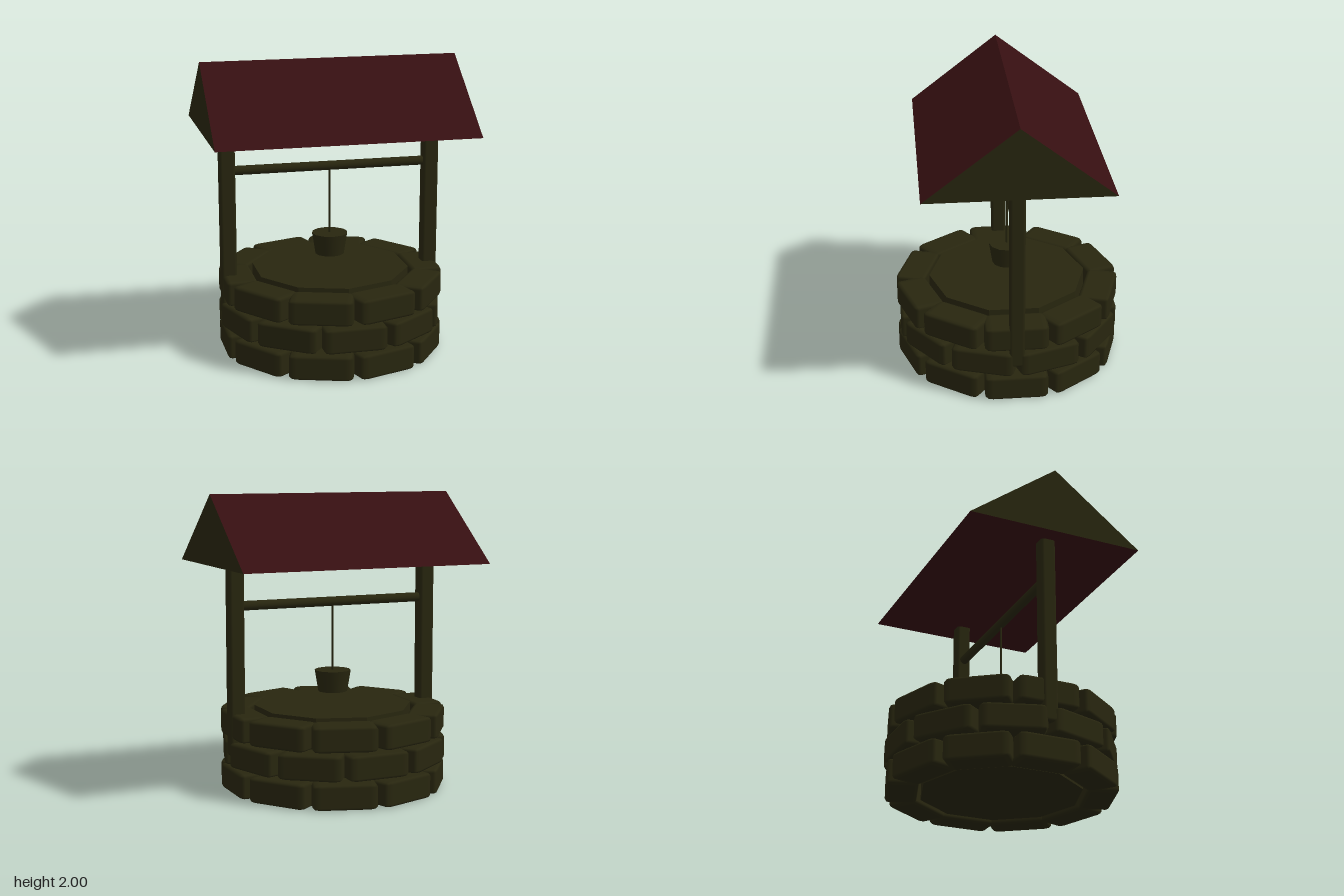
import * as THREE from 'three';
import { RoundedBoxGeometry } from 'three/addons/geometries/RoundedBoxGeometry.js';

function material(name, color) {
  const m = new THREE.MeshStandardMaterial({ color });
  m.name = name;
  return m;
}

export function createModel() {
  const well = new THREE.Group();
  well.name = 'well';
  const olive = material('darkOlive', 0x28260f);
  const red = material('darkRed', 0x360f11);

  function add(name, geometry, mat, x = 0, y = 0, z = 0, parent = well) {
    const mesh = new THREE.Mesh(geometry, mat);
    mesh.name = name;
    mesh.position.set(x, y, z);
    parent.add(mesh);
    return mesh;
  }

  // Ten-sided core filling the ring of stones
  const core = new THREE.CylinderGeometry(0.54, 0.54, 0.54, 10).toNonIndexed();
  core.computeVertexNormals();
  add('wellCore', core, olive, 0, 0.29, 0);

  // Three courses of ten bevelled stones, every second course shifted half a stone
  const stone = new RoundedBoxGeometry(1, 1, 1, 1, 0.12);
  stone.scale(0.42, 0.17, 0.21);
  for (let row = 0; row < 3; row++) {
    const course = new THREE.Group();
    course.name = 'stoneCourse' + (row + 1);
    course.position.y = 0.087 + row * 0.188;
    well.add(course);
    for (let i = 0; i < 10; i++) {
      const angle = ((i + (row % 2 ? 0 : 0.5)) * Math.PI) / 5;
      const block = add('stone', stone, olive,
        Math.sin(angle) * 0.645, 0, Math.cos(angle) * 0.645, course);
      block.rotation.y = angle;
    }
  }

  // Posts carrying the roof
  const post = new RoundedBoxGeometry(0.105, 1.3, 0.1, 1, 0.018);
  for (const side of [-1, 1]) {
    add(side > 0 ? 'leftPost' : 'rightPost', post, olive, side * 0.707, 0.91, 0);
  }

  // Crossbar, rope and bucket
  const bar = new THREE.CylinderGeometry(0.032, 0.032, 1.36, 12);
  bar.rotateZ(Math.PI / 2);
  add('crossbar', bar, olive, 0, 1.265, 0);
  add('rope', new THREE.CylinderGeometry(0.007, 0.007, 0.5, 8), olive, 0, 1.01, 0);
  add('bucket', new THREE.CylinderGeometry(0.124, 0.1, 0.147, 12), olive, 0, 0.72, 0);

  // Gabled roof: group 0 is the two end triangles, group 1 the slopes and underside
  const gable = new THREE.Shape([
    new THREE.Vector2(-0.605, 1.535),
    new THREE.Vector2(0.605, 1.535),
    new THREE.Vector2(0, 2),
  ]);
  const roof = new THREE.ExtrudeGeometry(gable, { depth: 1.744, bevelEnabled: false });
  roof.translate(0, 0, -0.872);
  roof.rotateY(Math.PI / 2);
  add('roof', roof, [olive, red]);

  return well;
}
